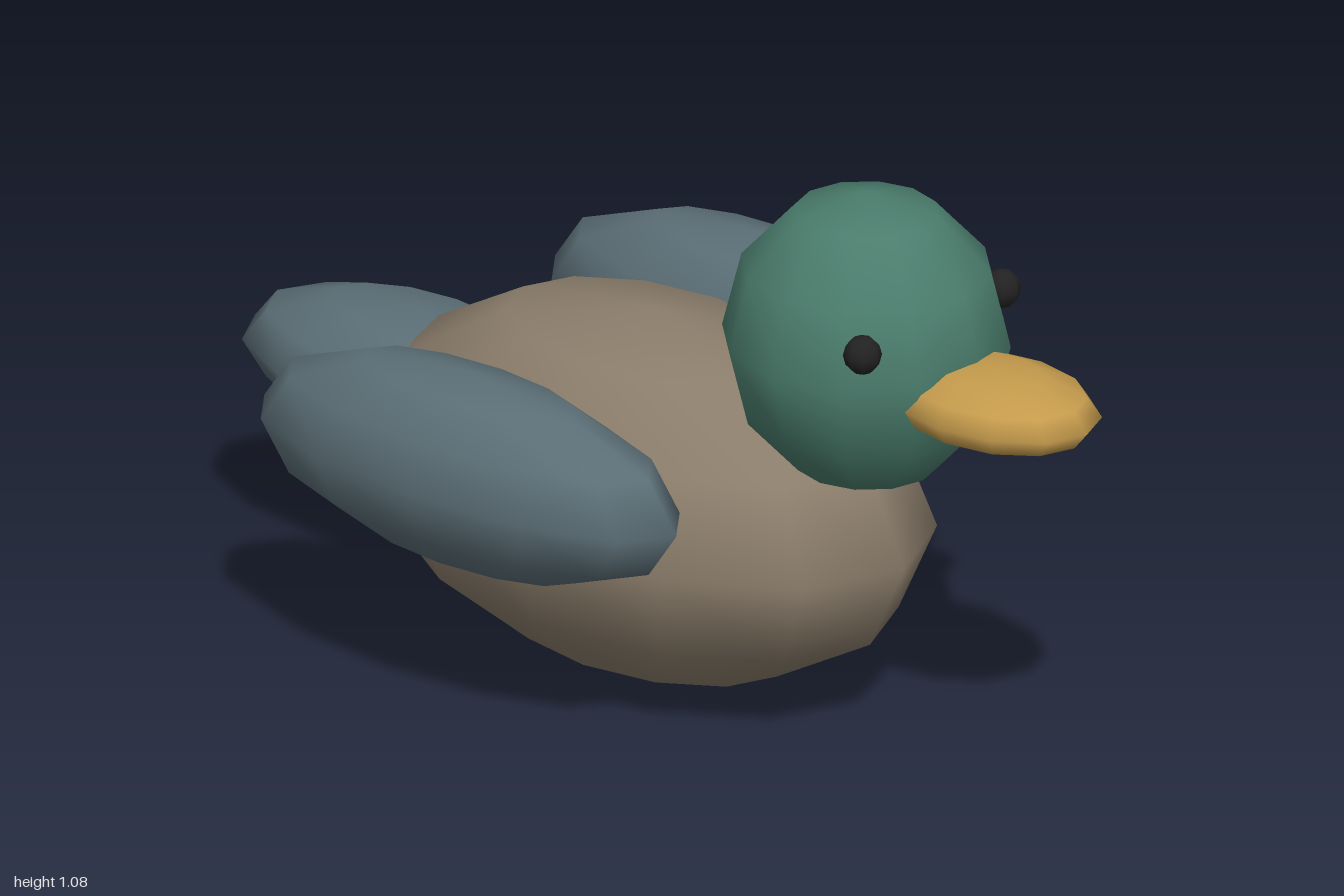
import * as THREE from 'three';

const material = (name, color) => {
  const m = new THREE.MeshStandardMaterial({ color });
  m.name = name;
  return m;
};

export function createModel() {
  const model = new THREE.Group();
  model.name = 'duck';

  const brown = material('brown plumage', 0x8b7d6b);
  const green = material('green plumage', 0x4a7c6c);
  const slate = material('slate plumage', 0x5b6e76);
  const ochre = material('ochre bill', 0xc49a4c);
  const black = material('black eye', 0x222222);

  // Coarse, smooth-shaded ellipsoid: the shape of every part
  const ellipsoid = (name, mat, radii, centre, segments = 12) => {
    const geometry = new THREE.SphereGeometry(1, segments, 6);
    geometry.scale(...radii);
    const mesh = new THREE.Mesh(geometry, mat);
    mesh.name = name;
    mesh.position.set(...centre);
    model.add(mesh);
  };

  ellipsoid('body', brown, [0.38, 0.35, 0.61], [0, 0.355, -0.05]);
  ellipsoid('head', green, [0.262, 0.29, 0.272], [0, 0.798, 0.47]);
  ellipsoid('bill', ochre, [0.157, 0.072, 0.225], [0, 0.752, 0.775]);
  ellipsoid('tail', slate, [0.2, 0.13, 0.4], [0, 0.415, -0.6]);

  // Mirrored wings and eyes
  for (const [side, s] of [['left', 1], ['right', -1]]) {
    ellipsoid(side + 'Wing', slate, [0.176, 0.19, 0.495], [s * 0.411, 0.502, -0.133]);
    ellipsoid(side + 'Eye', black, [0.036, 0.037, 0.036], [s * 0.197, 0.872, 0.628], 8);
  }

  return model;
}
